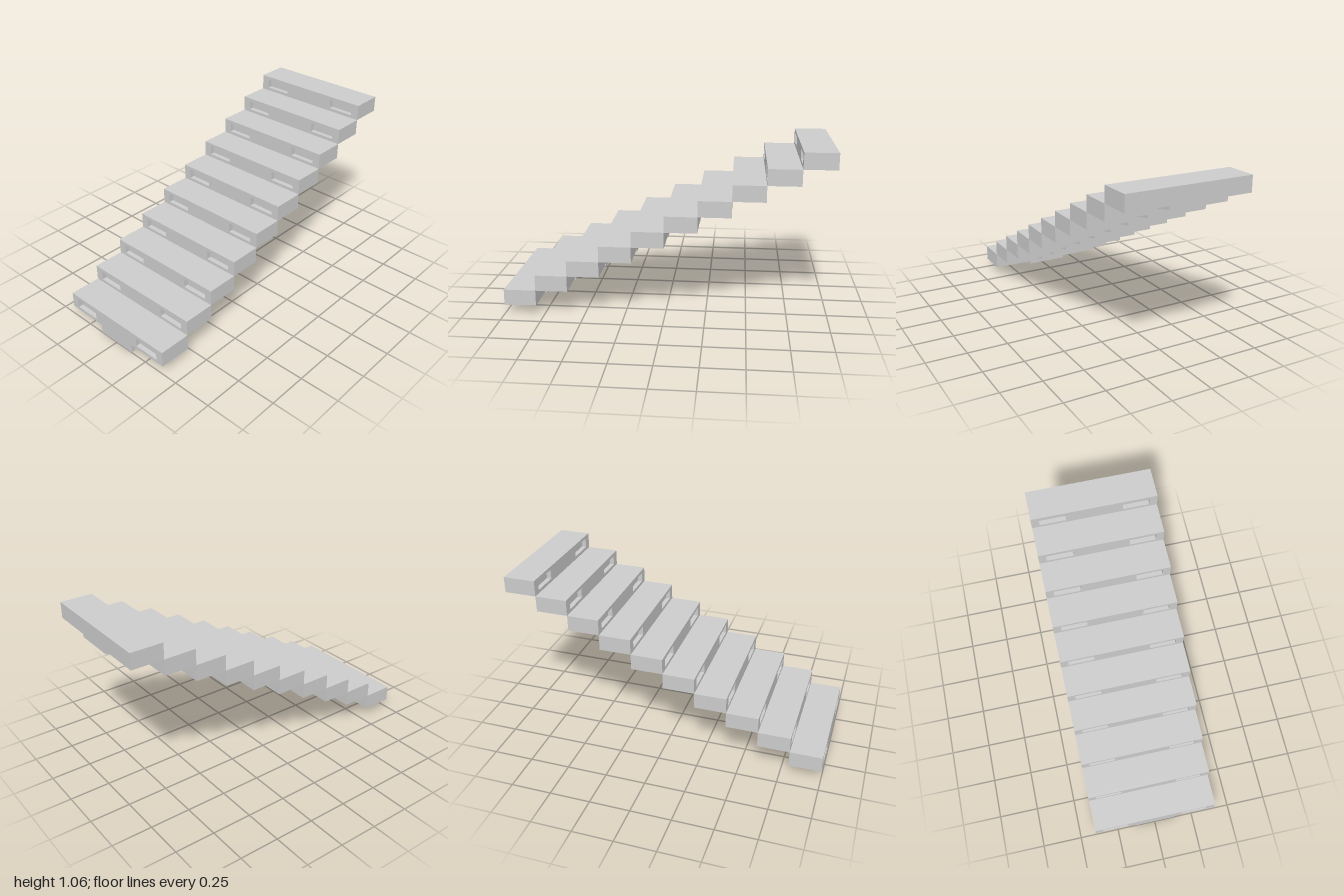
import * as THREE from 'three';

const STEPS = 10, RUN = 0.2, RISE = 0.1;
const WIDTH = 0.8, THICK = 0.1, SLOT_DEPTH = 0.03;
const SPINE_WIDTH = 0.267;

// Traces a rectangle on a shape or a hole path
function rect(path, x0, y0, x1, y1) {
  path.moveTo(x0, y0);
  path.lineTo(x1, y0);
  path.lineTo(x1, y1);
  path.lineTo(x0, y1);
  path.closePath();
  return path;
}

// Riser plate with two recessed slots, extruded along +x
function riserGeometry() {
  const shape = rect(new THREE.Shape(), -WIDTH / 2, 0, WIDTH / 2, THICK);
  for (const [a, b] of [[-0.35, -0.18], [0.18, 0.35]]) {
    shape.holes.push(rect(new THREE.Path(), a, 0.02, b, 0.08));
  }
  return new THREE.ExtrudeGeometry(shape, { depth: SLOT_DEPTH, bevelEnabled: false })
    .rotateY(Math.PI / 2);
}

// Sloped block under the middle of a tread
function spineGeometry() {
  const shape = new THREE.Shape();
  shape.moveTo(0, 0);
  shape.lineTo(RUN, 0.04);
  shape.lineTo(RUN, 0.06);
  shape.lineTo(0, 0.06);
  shape.closePath();
  return new THREE.ExtrudeGeometry(shape, { depth: SPINE_WIDTH, bevelEnabled: false })
    .translate(0, 0, -SPINE_WIDTH / 2);
}

export function createModel() {
  const group = new THREE.Group();
  group.name = 'staircase';
  const material = new THREE.MeshStandardMaterial({ color: 0xcccccc, flatShading: true });

  const treadLength = RUN - SLOT_DEPTH;
  const parts = {
    riser: riserGeometry().translate(0, 0.06, 0),
    tread: new THREE.BoxGeometry(treadLength, THICK, WIDTH)
      .translate(SLOT_DEPTH + treadLength / 2, 0.06 + THICK / 2, 0),
    spineBlock: spineGeometry(),
  };

  // Flight of identical steps climbing toward +x
  for (let i = 0; i < STEPS; i++) {
    const step = new THREE.Group();
    step.name = `step${i + 1}`;
    for (const [name, geometry] of Object.entries(parts)) {
      const mesh = new THREE.Mesh(geometry, material);
      mesh.name = name;
      step.add(mesh);
    }
    step.position.set(-1 + i * RUN, i * RISE, 0);
    group.add(step);
  }
  return group;
}
